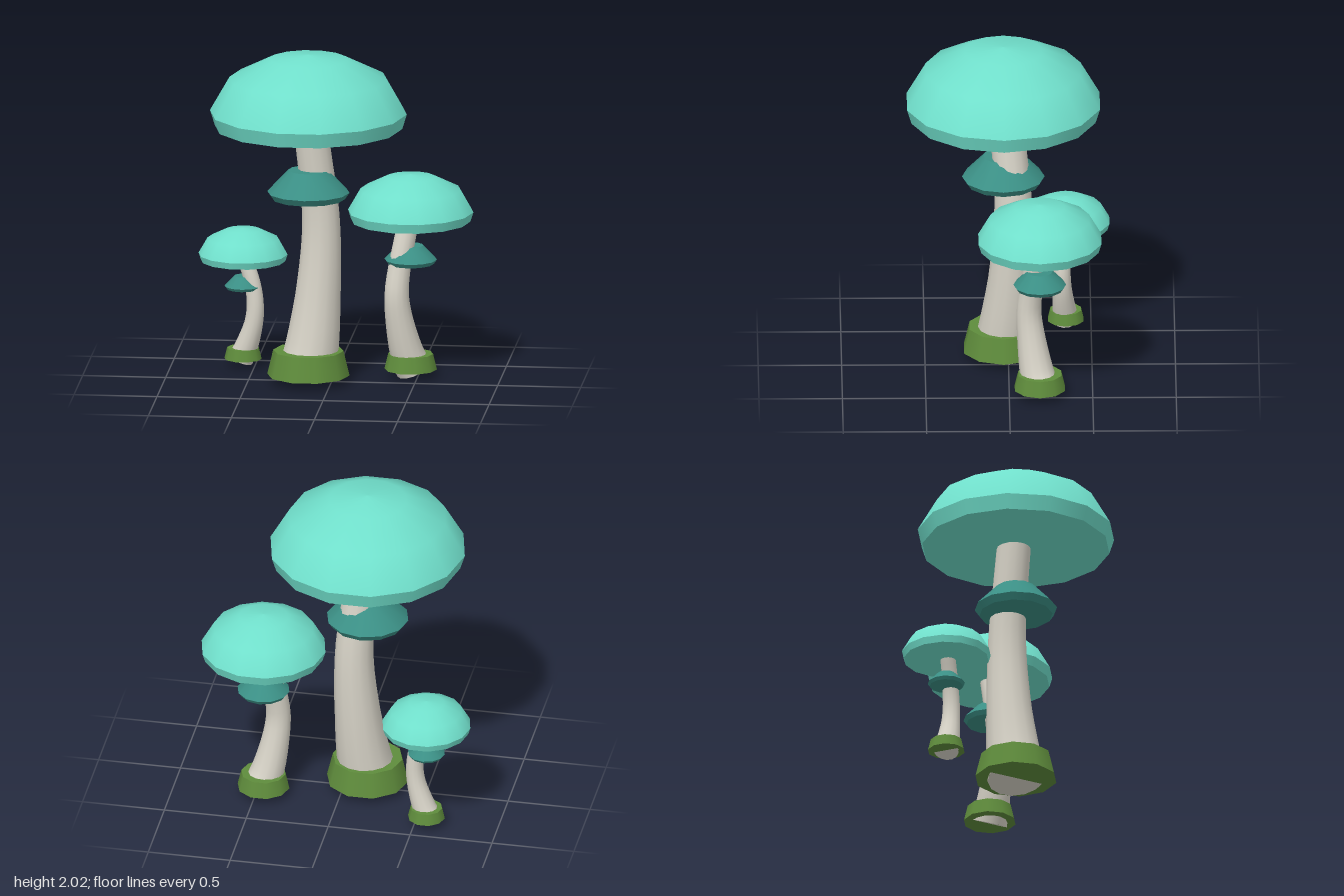
import * as THREE from 'three';
import { mergeGeometries } from 'three/addons/utils/BufferGeometryUtils.js';

const paint = (name, color) => {
  const m = new THREE.MeshStandardMaterial({ color });
  m.name = name;
  return m;
};

// Turned solid: each profile is smooth in itself, with a sharp edge between profiles
function turned(profiles, sides) {
  return mergeGeometries(profiles.map((profile) => new THREE.LatheGeometry(
    profile.map(([r, y]) => new THREE.Vector2(r, y)), sides, Math.PI / 2)));
}

// Curved, tapering stem; each point is [x, y, z, radius]
function stemGeometry(points) {
  const rows = 16, sides = 14;
  const path = new THREE.CatmullRomCurve3(points.map(([x, y, z]) => new THREE.Vector3(x, y, z)));
  const tube = new THREE.TubeGeometry(path, rows, 1, sides);
  const pos = tube.attributes.position;
  const v = new THREE.Vector3();
  const radiusAt = (y) => {
    let i = 1;
    while (i < points.length - 1 && points[i][1] < y) i++;
    const [a, b] = [points[i - 1], points[i]];
    return THREE.MathUtils.mapLinear(y, a[1], b[1], a[3], b[3]);
  };
  for (let row = 0; row <= rows; row++) {
    const centre = path.getPointAt(row / rows);
    const r = radiusAt(centre.y);
    for (let s = 0; s <= sides; s++) {
      const k = row * (sides + 1) + s;
      v.fromBufferAttribute(pos, k).sub(centre).multiplyScalar(r).add(centre);
      pos.setXYZ(k, v.x, v.y, v.z);
    }
  }
  // closing disc at the foot, square to the path
  const disc = new THREE.CircleGeometry(points[0][3], sides);
  const down = path.getTangentAt(0).negate();
  disc.applyQuaternion(new THREE.Quaternion().setFromUnitVectors(new THREE.Vector3(0, 0, 1), down));
  disc.translate(...points[0].slice(0, 3));
  return mergeGeometries([tube, disc]);
}

// Unit profiles, drawn at the size of the tallest mushroom
const capProfiles = [
  [[0, 0], [0.565, 0]],
  [[0.565, 0], [0.593, 0.09]],
  [[0.593, 0.09], [0.475, 0.297], [0.235, 0.417], [0, 0.445]],
];
const collarProfiles = [
  [[0, 0], [0.22, 0]],
  [[0.22, 0], [0.248, 0.04]],
  [[0.248, 0.04], [0.12, 0.175]],
  [[0.12, 0.175], [0, 0.175]],
];
const footProfiles = [
  [[0, 0], [0.248, 0]],
  [[0.248, 0], [0.212, 0.15]],
  [[0.212, 0.15], [0, 0.15]],
];

const mushrooms = [
  {
    name: 'tallMushroom', x: -0.137, z: 0.03, scale: 1, capY: 1.555, collarY: 1.115,
    stem: [[-0.15, 0.03, 0.035, 0.175], [-0.12, 0.18, 0.015, 0.165], [-0.085, 0.5, -0.015, 0.138],
      [-0.066, 0.86, -0.03, 0.118], [-0.075, 1.1, -0.025, 0.11], [-0.095, 1.28, -0.01, 0.106],
      [-0.13, 1.58, 0.018, 0.102]],
  },
  {
    name: 'middleMushroom', x: 0.457, z: -0.183, scale: 0.637, capY: 0.945, collarY: 0.68,
    stem: [[0.475, 0.03, -0.19, 0.11], [0.438, 0.125, -0.165, 0.103], [0.392, 0.35, -0.13, 0.083],
      [0.379, 0.5, -0.118, 0.074], [0.392, 0.65, -0.133, 0.069], [0.418, 0.8, -0.153, 0.066],
      [0.447, 0.96, -0.177, 0.064]],
  },
  {
    name: 'smallMushroom', x: -0.57, z: -0.348, scale: 0.452, capY: 0.635, collarY: 0.46,
    stem: [[-0.583, 0.03, -0.35, 0.078], [-0.552, 0.1, -0.34, 0.072], [-0.505, 0.25, -0.328, 0.057],
      [-0.494, 0.35, -0.325, 0.052], [-0.503, 0.46, -0.328, 0.049], [-0.525, 0.55, -0.332, 0.047],
      [-0.56, 0.65, -0.34, 0.046]],
  },
];

export function createModel() {
  const capPaint = paint('turquoise', 0x70dfcb);
  const collarPaint = paint('deep teal', 0x3b8f85);
  const stemPaint = paint('ivory', 0xdad6ca);
  const footPaint = paint('moss green', 0x5f8c3c);

  const capShape = turned(capProfiles, 14);
  const collarShape = turned(collarProfiles, 12);
  const footShape = turned(footProfiles, 10);

  const model = new THREE.Group();
  model.name = 'mushroomCluster';
  for (const m of mushrooms) {
    const group = new THREE.Group();
    group.name = m.name;
    const add = (name, geometry, material, y) => {
      const mesh = new THREE.Mesh(geometry, material);
      mesh.name = name;
      mesh.position.set(m.x, y, m.z);
      mesh.scale.setScalar(m.scale);
      group.add(mesh);
    };
    add('cap', capShape, capPaint, m.capY);
    add('collar', collarShape, collarPaint, m.collarY);
    add('mossFoot', footShape, footPaint, 0.03);

    const stem = new THREE.Mesh(stemGeometry(m.stem), stemPaint);
    stem.name = 'stem';
    group.add(stem);
    model.add(group);
  }
  return model;
}
